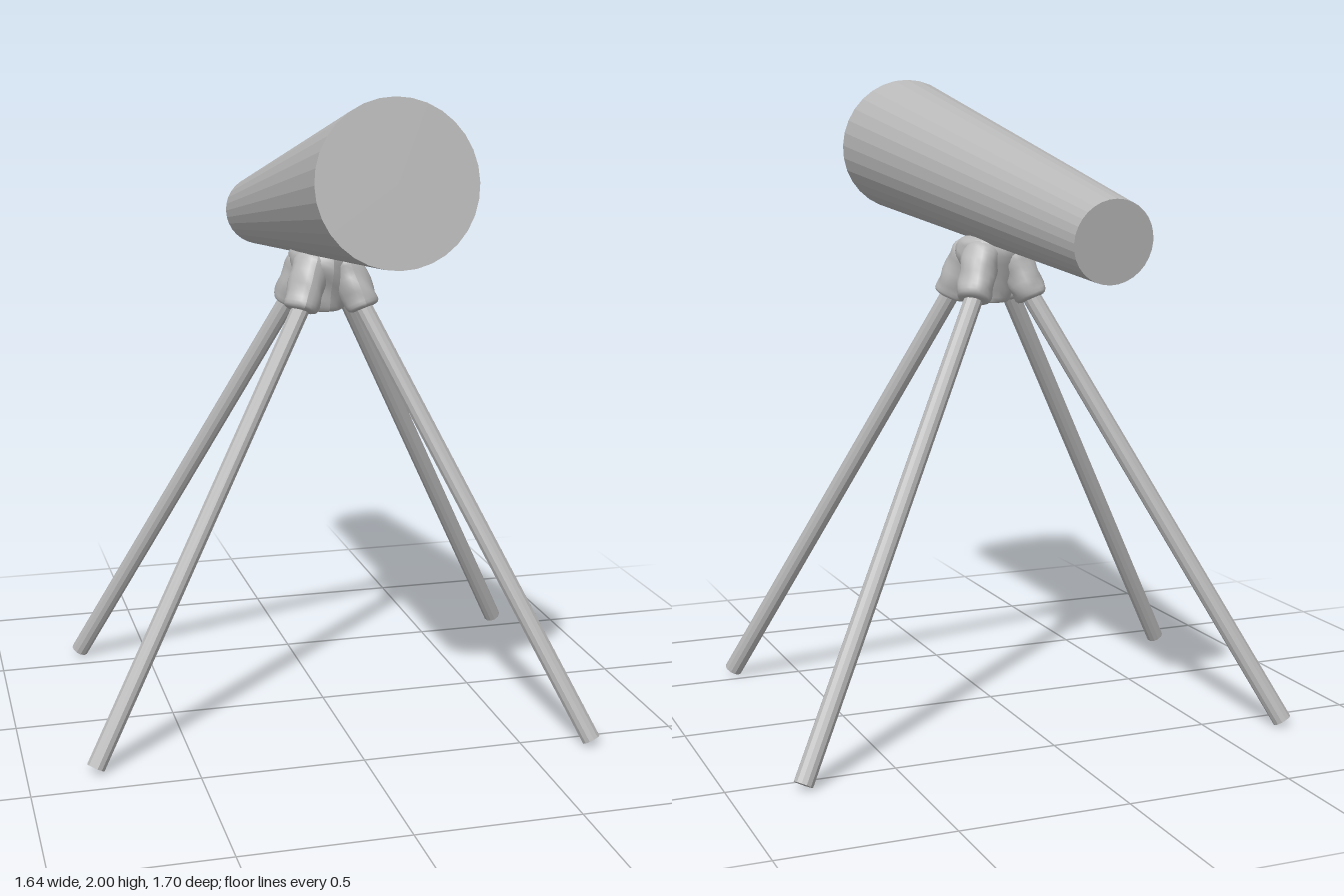
import * as THREE from 'three';

const metal = new THREE.MeshStandardMaterial({ color: 0xb8b8b8, flatShading: true });
metal.name = 'grey metal';
const clay = new THREE.MeshStandardMaterial({ color: 0xb8b8b8 });
clay.name = 'grey mount';
const UP = new THREE.Vector3(0, 1, 0);

// Places a geometry built along y so that its axis runs from a to b
function between(name, geometry, material, a, b) {
  const mesh = new THREE.Mesh(geometry, material);
  mesh.name = name;
  mesh.position.copy(a).add(b).multiplyScalar(0.5);
  mesh.quaternion.setFromUnitVectors(UP, b.clone().sub(a).normalize());
  return mesh;
}

// Rounded, closed lump from a [radius, height] profile, with a gently uneven surface
function lump(profile, seed) {
  const curve = new THREE.SplineCurve(profile.map(([r, y]) => new THREE.Vector2(r, y)));
  const points = curve.getPoints(20).map(p => new THREE.Vector2(Math.max(p.x, 0), p.y));
  const geometry = new THREE.LatheGeometry(points, 20);
  const pos = geometry.attributes.position;
  for (let i = 0; i < pos.count; i++) {
    const x = pos.getX(i), y = pos.getY(i), z = pos.getZ(i);
    const k = 1 + 0.09 * Math.sin(55 * x + 40 * y + seed) * Math.cos(50 * z - 35 * y + seed * 2);
    pos.setXYZ(i, x * k, y, z * k);
  }
  geometry.computeVertexNormals();
  return geometry;
}

export function createModel() {
  const model = new THREE.Group();
  const v = (x, y, z) => new THREE.Vector3(x, y, z);

  // Tapered tube, wide end forward and raised
  const back = v(-0.02, 1.518, -0.827), front = v(-0.007, 1.775, 0.815);
  model.add(between('telescopeTube',
    new THREE.CylinderGeometry(0.228, 0.119, back.distanceTo(front), 32), metal, back, front));

  // Legs: foot, and the point where each enters the mount
  const legs = [
    ['frontLeftLeg', v(0.71, 0.02, 0.562), v(0.118, 1.31, 0.05)],
    ['frontRightLeg', v(-0.797, 0.02, 0.383), v(-0.083, 1.31, 0.04)],
    ['backLeftLeg', v(0.793, 0.02, -0.565), v(0.118, 1.31, -0.15)],
    ['backRightLeg', v(-0.727, 0.02, -0.597), v(-0.083, 1.31, -0.135)],
  ];
  const crown = v(0.018, 1.47, -0.045);
  legs.forEach(([name, foot, top], i) => {
    const inner = top.clone().lerp(crown, 0.4);
    model.add(between(name, new THREE.CylinderGeometry(0.029, 0.029, foot.distanceTo(top), 12), metal, foot, top));
    // Socket lump wrapping the top of the leg
    const upper = top.clone().lerp(crown, 0.55).setY(1.47);
    model.add(between(name + 'Socket', lump([
      [0, -0.092], [0.03, -0.091], [0.05, -0.082], [0.054, -0.045],
      [0.056, 0.02], [0.054, 0.07], [0.03, 0.096], [0, 0.1],
    ], i * 1.7), clay, top, upper));
  });

  // Central hub joining the sockets under the tube
  const hub = new THREE.Mesh(lump([
    [0, -0.105], [0.045, -0.104], [0.062, -0.09], [0.085, -0.02],
    [0.108, 0.05], [0.1, 0.088], [0.06, 0.103], [0, 0.105],
  ], 0.8), clay);
  hub.name = 'mountHub';
  hub.position.set(0.018, 1.397, -0.045);
  model.add(hub);

  return model;
}
